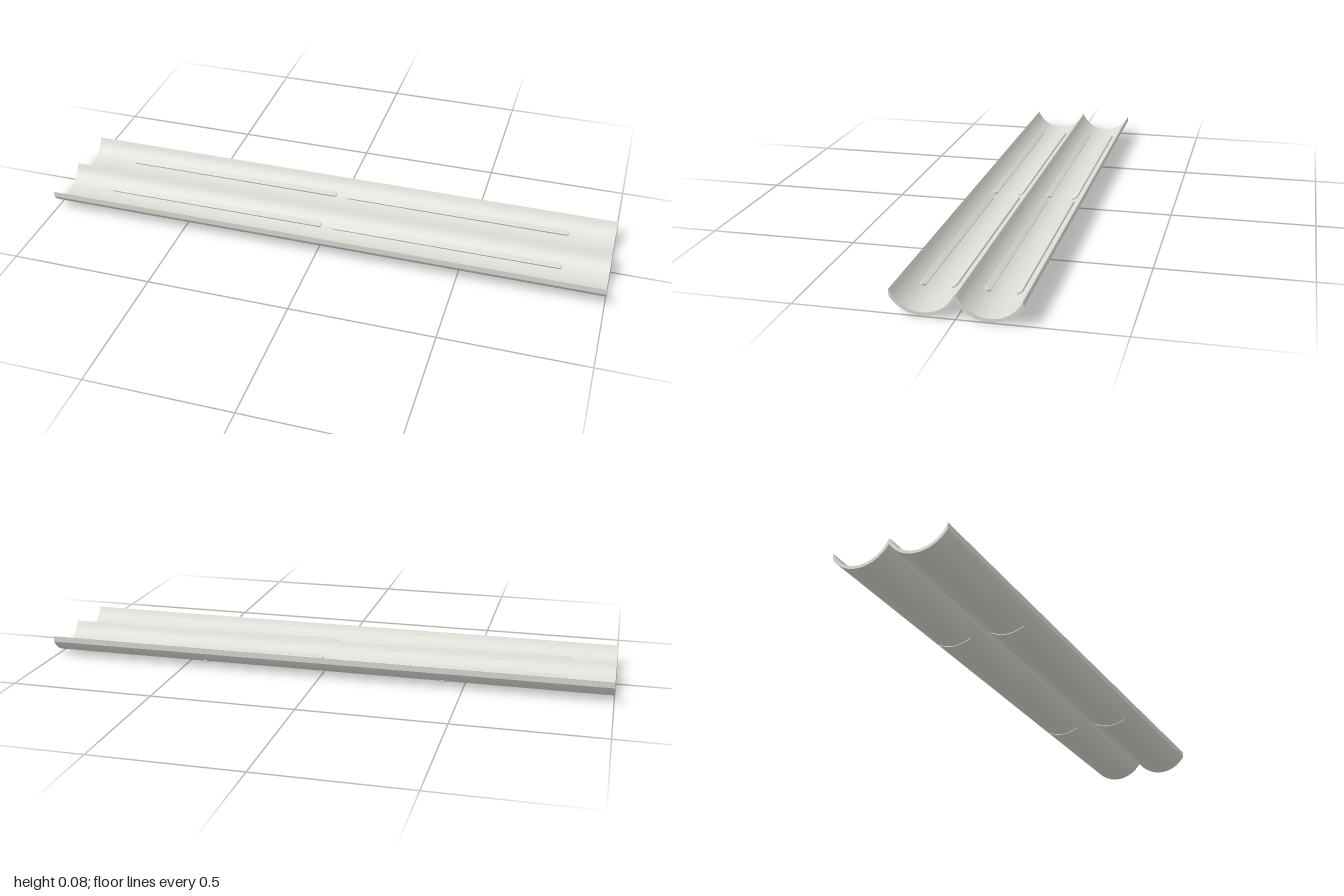
import * as THREE from 'three';
import { toCreasedNormals } from 'three/addons/utils/BufferGeometryUtils.js';

const AXIS_Y = 0.12;   // height of each trough's arc centre
const AXIS_Z = 0.1;    // sideways offset of each trough
const INNER = 0.1075, OUTER = 0.1175;
const EDGE = 0.198;

// Points on a trough arc between two z values
function arc(radius, centreZ, z0, z1, n = 32) {
  const a0 = Math.asin((z0 - centreZ) / radius), a1 = Math.asin((z1 - centreZ) / radius);
  return Array.from({ length: n + 1 }, (_, i) => {
    const a = a0 + (a1 - a0) * i / n;
    return new THREE.Vector2(centreZ + radius * Math.sin(a), AXIS_Y - radius * Math.cos(a));
  });
}

// Extrude a (z, y) outline along x, centred on x = 0
function alongX(points, length) {
  const g = new THREE.ExtrudeGeometry(new THREE.Shape(points), { depth: length, bevelEnabled: false });
  g.translate(0, 0, -length / 2);
  g.rotateY(-Math.PI / 2);
  return toCreasedNormals(g, 0.5);
}

export function createModel() {
  const model = new THREE.Group();
  const plastic = new THREE.MeshStandardMaterial({ color: 0xdcdcd6 });
  plastic.name = 'pale grey plastic';

  const add = (name, geometry, x = 0) => {
    const mesh = new THREE.Mesh(geometry, plastic);
    mesh.name = name;
    mesh.position.x = x;
    model.add(mesh);
    return mesh;
  };

  // Twin-trough shell with a slightly blunted central ridge
  const blunt = 0.002;
  add('troughShell', alongX([
    ...arc(OUTER, -AXIS_Z, -EDGE, 0),
    ...arc(OUTER, AXIS_Z, 0, EDGE).slice(1),
    ...arc(INNER, AXIS_Z, EDGE, blunt),
    ...arc(INNER, -AXIS_Z, -blunt, -EDGE),
  ], 2));

  // Long raised pads with round ends, lying on the inside of the troughs
  const r = 0.008, half = 0.4;
  const capsule = new THREE.Shape();
  capsule.absarc(half, 0, r, -Math.PI / 2, Math.PI / 2);
  capsule.absarc(-half, 0, r, Math.PI / 2, Math.PI * 1.5);
  const padGeometry = toCreasedNormals(new THREE.ExtrudeGeometry(capsule, {
    depth: 0.007, bevelThickness: 0.002, bevelSize: 0.002, bevelSegments: 2, curveSegments: 10,
  }).rotateX(-Math.PI / 2), 0.6);
  for (const trough of [-1, 1]) for (const side of [-1, 1]) {
    const tilt = Math.asin(0.05 / INNER);
    const radius = INNER + 0.002;
    for (const x of [-0.43, 0.43]) {
      const pad = add('raisedPad', padGeometry, x);
      pad.position.y = AXIS_Y - radius * Math.cos(tilt);
      pad.position.z = trough * AXIS_Z + side * radius * Math.sin(tilt);
      pad.rotation.x = -side * tilt;
    }
  }

  // Narrow curved ribs under each trough
  for (const trough of [-1, 1]) {
    const c = trough * AXIS_Z;
    const rib = alongX([
      ...arc(0.12, c, c - 0.062, c + 0.062, 20),
      ...arc(0.115, c, c + 0.058, c - 0.058, 20),
    ], 0.01);
    for (const x of [-0.43, 0.43]) add('undersideRib', rib, x);
  }

  // Small gussets beneath the ridge near the ends
  const gusset = alongX([
    new THREE.Vector2(-0.01, 0.055), new THREE.Vector2(0.01, 0.055), new THREE.Vector2(0, 0.068),
  ], 0.012);
  for (const x of [-0.93, 0.93]) add('ridgeGusset', gusset, x);

  return model;
}
